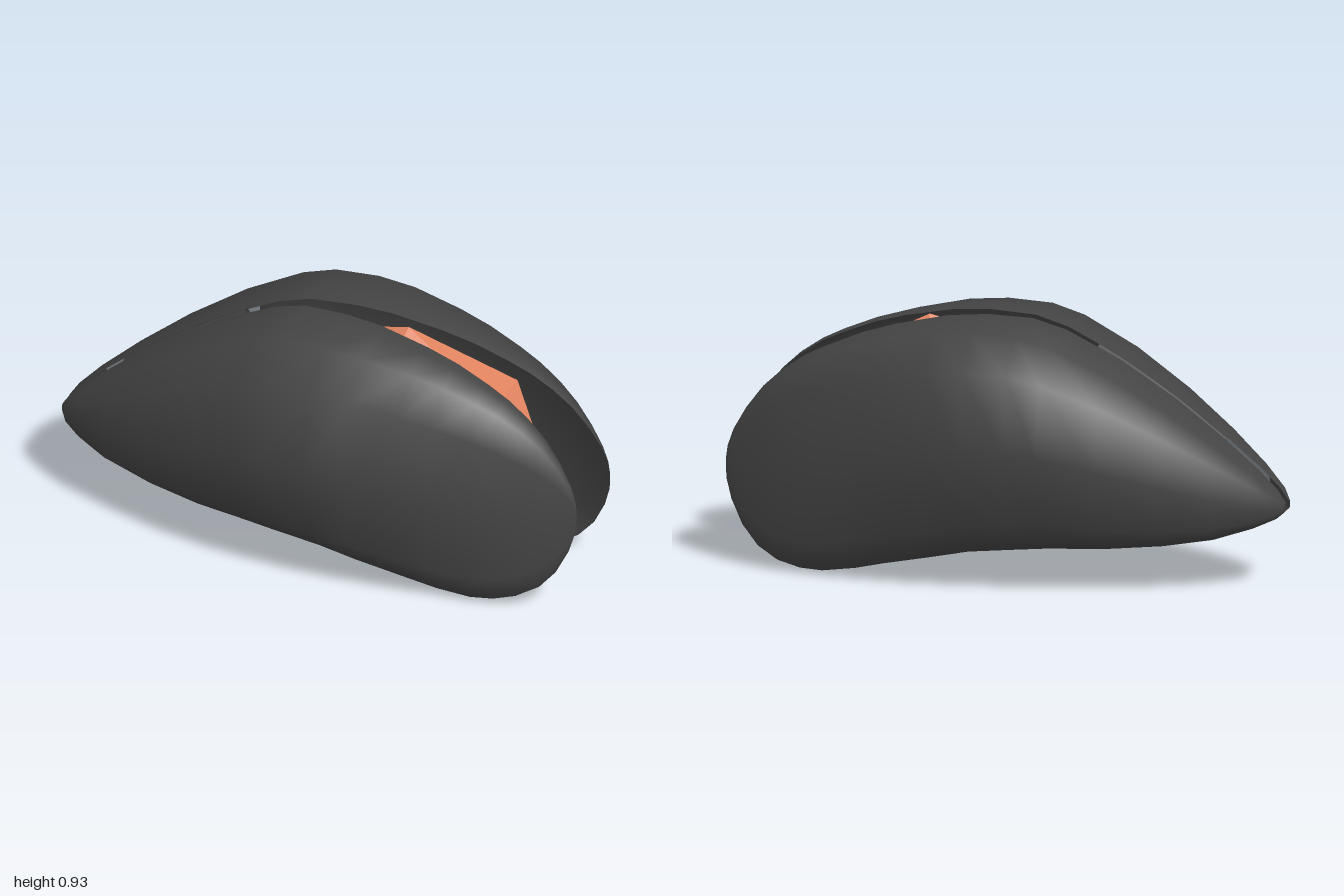
import * as THREE from 'three';
import { ConvexGeometry } from 'three/addons/geometries/ConvexGeometry.js';

const shellMat = new THREE.MeshStandardMaterial({ color: 0x444444, side: THREE.DoubleSide });
shellMat.name = 'charcoal shell';
const nacreMat = new THREE.MeshStandardMaterial({ color: 0x8d959c, side: THREE.DoubleSide });
nacreMat.name = 'grey nacre';
const fleshMat = new THREE.MeshStandardMaterial({ color: 0xe0835f, flatShading: true });
fleshMat.name = 'orange flesh';

// Stations along the shell: x, top y, bottom y, bulge depth
const stations = [
  [-1, 0.305, 0.275, 0.02], [-0.97, 0.35, 0.25, 0.07], [-0.9, 0.42, 0.22, 0.13],
  [-0.77, 0.53, 0.18, 0.21], [-0.6, 0.66, 0.155, 0.285], [-0.4, 0.79, 0.14, 0.35],
  [-0.2, 0.89, 0.135, 0.39], [-0.08, 0.925, 0.125, 0.397], [0.08, 0.932, 0.11, 0.39],
  [0.22, 0.922, 0.08, 0.36], [0.4, 0.885, 0.042, 0.3], [0.52, 0.85, 0.016, 0.255],
  [0.64, 0.8, 0, 0.205], [0.72, 0.76, 0.005, 0.168], [0.8, 0.705, 0.027, 0.128],
  [0.87, 0.64, 0.07, 0.087], [0.93, 0.56, 0.14, 0.05], [0.975, 0.48, 0.23, 0.02],
  [0.995, 0.42, 0.3, 0.005], [1, 0.375, 0.345, 0],
];

// Half cross-sections from upper rim to lower rim: height fraction, depth fraction
const shellProfile = [
  [0.985, 0], [1, 0.18], [0.95, 0.59], [0.68, 0.93], [0, 1],
  [-0.68, 0.8], [-0.95, 0.5], [-1, 0.15], [-0.985, 0],
];
const liningProfile = [[0.86, 0.58], [0.63, 0.86], [0, 0.93], [-0.63, 0.74], [-0.86, 0.5]];

// Plane in which the rim of a valve lies, so the pair gapes below and at the wide end
const rimZ = (x, y) => 0.121 + 0.072 * x - 0.099 * y;

// Loft one valve surface; side is +1 for the front valve and -1 for the back one
function loft(rows, profile, side) {
  const positions = [], indices = [], n = profile.length;
  rows.forEach(([x, top, bottom, depth]) => {
    for (const [u, d] of profile) {
      const y = (top + bottom) / 2 + (u * (top - bottom)) / 2;
      positions.push(x, y, side * (rimZ(x, y) + d * depth));
    }
  });
  for (let i = 0; i < rows.length - 1; i++) {
    for (let j = 0; j < n - 1; j++) {
      const a = i * n + j, b = a + n, c = a + 1, d = b + 1;
      if (side > 0) indices.push(a, c, b, b, c, d);
      else indices.push(a, b, c, b, d, c);
    }
  }
  const geometry = new THREE.BufferGeometry();
  geometry.setAttribute('position', new THREE.Float32BufferAttribute(positions, 3));
  geometry.setIndex(indices);
  geometry.computeVertexNormals();
  return geometry;
}

function addMesh(parent, name, geometry, material) {
  const mesh = new THREE.Mesh(geometry, material);
  mesh.name = name;
  parent.add(mesh);
}

// Faceted flesh: points on the middle plane, mirrored side points and two uneven lower corners
function fleshGeometry() {
  const middle = [
    [0.3, 0.905], [0.78, 0.58], [0.63, 0.34], [0.22, 0.05],
    [-0.3, 0.77], [-0.4, 0.22], [-0.65, 0.53], [-0.82, 0.34],
  ];
  const sides = [
    [0.67, 0.71, 0.105], [0.69, 0.53, 0.125], [0.6, 0.43, 0.15], [0.25, 0.72, 0.19],
    [0.25, 0.42, 0.24], [0, 0.24, 0.18], [-0.25, 0.62, 0.16], [-0.3, 0.36, 0.18],
    [-0.65, 0.4, 0.07], [-0.65, 0.29, 0.05],
  ];
  const points = middle.map(([x, y]) => new THREE.Vector3(x, y, 0));
  for (const [x, y, z] of sides) {
    points.push(new THREE.Vector3(x, y, z), new THREE.Vector3(x, y, -z));
  }
  points.push(new THREE.Vector3(0.42, 0.19, 0.165), new THREE.Vector3(0.38, 0.09, -0.17));
  return new ConvexGeometry(points);
}

// Dark ligament bridging the two valves just under the upper rim
function ligamentGeometry() {
  const points = stations.slice(3, 6).map(([x, top]) => new THREE.Vector3(x, top - 0.02, 0));
  points.push(new THREE.Vector3(-0.31, 0.82, 0));
  return new THREE.TubeGeometry(new THREE.CatmullRomCurve3(points), 12, 0.017, 6);
}

export function createModel() {
  const model = new THREE.Group();
  model.name = 'mussel';

  // Two mirrored valves, each with a pale patch inside its narrow end
  for (const [name, side] of [['frontValve', 1], ['backValve', -1]]) {
    const valve = new THREE.Group();
    valve.name = name;
    addMesh(valve, 'outerShell', loft(stations, shellProfile, side), shellMat);
    addMesh(valve, 'lining', loft(stations.slice(2, 6), liningProfile, side), nacreMat);
    model.add(valve);
  }

  addMesh(model, 'ligament', ligamentGeometry(), shellMat);
  addMesh(model, 'flesh', fleshGeometry(), fleshMat);
  return model;
}
